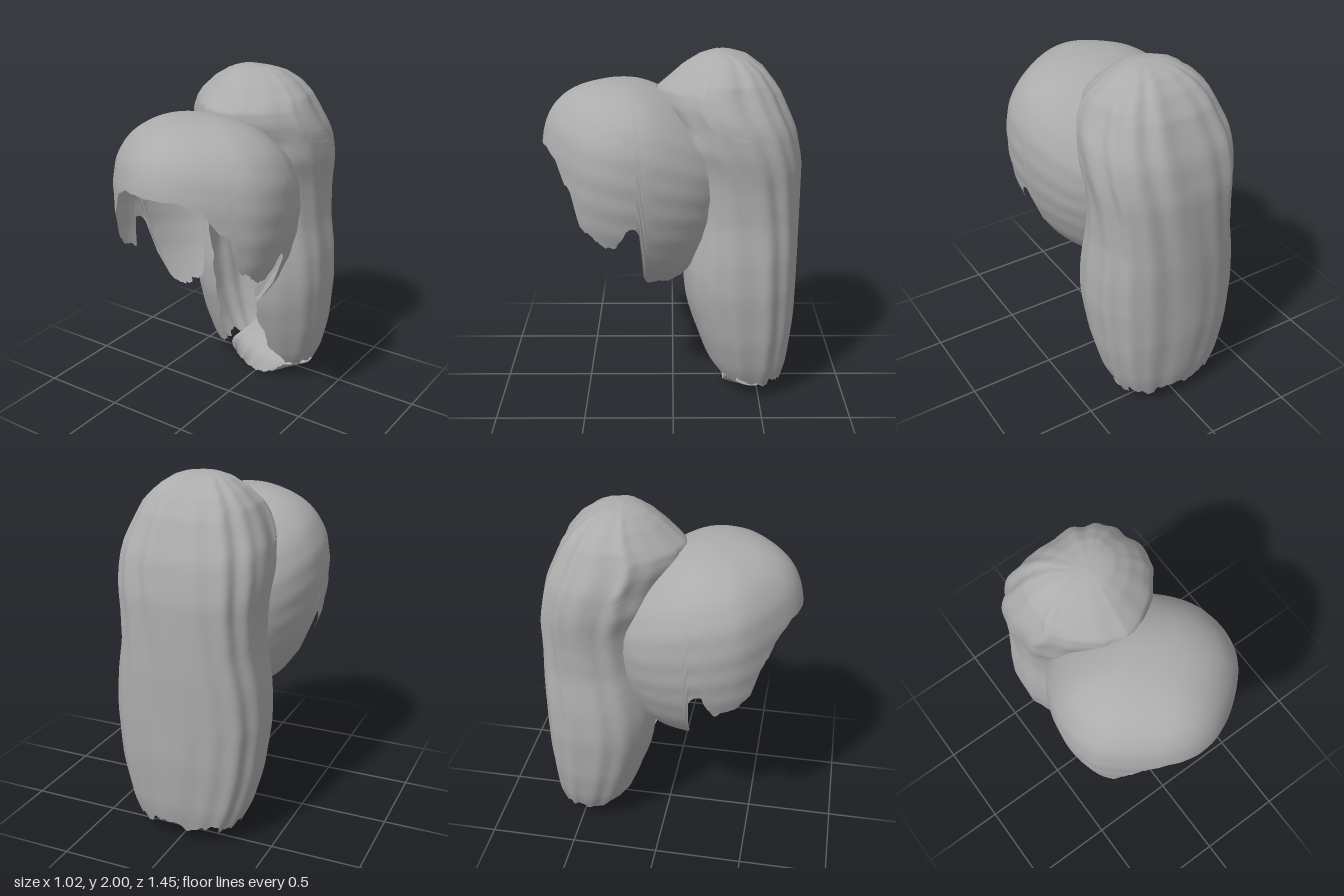
import * as THREE from 'three';
import { ParametricGeometry } from 'three/addons/geometries/ParametricGeometry.js';

const { smoothstep, clamp } = THREE.MathUtils;

// Piecewise linear lookup in [key, value] pairs with ascending keys
function lookup(table, k) {
  if (k <= table[0][0]) return table[0][1];
  for (let i = 1; i < table.length; i++) {
    const [a, va] = table[i - 1], [b, vb] = table[i];
    if (k <= b) return va + ((vb - va) * (k - a)) / (b - a);
  }
  return table[table.length - 1][1];
}

// Smooth curve lookup through the same kind of table
function smoothLookup(table, k) {
  const d = 0.04;
  return (lookup(table, k - d) + 2 * lookup(table, k) + lookup(table, k + d)) / 4;
}

// Small ragged offset for torn hair ends
const ragged = (a) => 0.5 * Math.sin(a * 23) + 0.3 * Math.sin(a * 51 + 1) + 0.2 * Math.sin(a * 97 + 2);
const power = (c, e) => Math.sign(c) * Math.pow(Math.abs(c), e);
const dome = (t, e) => Math.pow(Math.max(0, 1 - Math.pow(t, e)), 1 / e);

// Lower edge height of the cap by angle from the front, in degrees
const CAP_EDGE = [
  [0, 1.5], [25, 1.5], [38, 1.45], [46, 1.35], [52, 1.3], [57, 1.13], [70, 1.04], [82, 1.0],
  [87, 1.07], [90, 1.13], [95, 1.14], [98, 1.08], [99, 0.92], [100, 0.8], [105, 0.73],
  [126, 0.73], [134, 0.78], [138, 0.92], [143, 1.2], [150, 1.5], [160, 1.65], [180, 1.7],
];

// Ponytail profiles by height: half width, front depth, back depth, half gap in front
const TAIL_WIDTH = [
  [0, 0.25], [0.1, 0.3], [0.2, 0.35], [0.4, 0.4], [0.7, 0.43], [0.9, 0.42], [1.1, 0.39],
  [1.3, 0.39], [1.5, 0.41], [1.65, 0.4], [1.75, 0.36], [1.85, 0.31], [1.92, 0.24], [1.97, 0.16],
  [1.99, 0.1], [2, 0],
];
const TAIL_FRONT = [
  [0, -0.3], [0.1, -0.25], [0.2, -0.19], [0.4, -0.12], [0.6, -0.06], [0.8, -0.04], [1, -0.06],
  [1.2, -0.08], [1.4, -0.07], [1.6, 0.02], [1.72, 0.1], [1.8, 0.09], [1.85, 0.03], [1.92, -0.05],
  [1.97, -0.13], [1.99, -0.19], [2, -0.25],
];
const TAIL_BACK = [
  [0, -0.63], [0.2, -0.68], [0.5, -0.71], [1, -0.72], [1.4, -0.71], [1.6, -0.67],
  [1.8, -0.58], [1.9, -0.5], [1.96, -0.42], [1.99, -0.33], [2, -0.25],
];
const TAIL_GAP = [
  [0, 0.17], [0.4, 0.15], [0.5, 0.12], [0.75, 0.13], [0.9, 0.15], [1.05, 0.22], [1.15, 0.29],
  [1.5, 0.29], [1.6, 0.2], [1.66, 0],
];

// Head cap: a dome cut off along the hairline
function capPoint(u, v, p) {
  const angle = Math.PI * (1 - 2 * u);
  const degrees = Math.abs(angle) * 180 / Math.PI;
  const frayed = degrees > 40 ? 0.016 : 0.004;
  const edge = lookup(CAP_EDGE, degrees) + frayed * ragged(angle);
  let y = 1.83 - (1.83 - edge) * v * v;
  const up = Math.max(0, (y - 1.38) / 0.45), down = Math.max(0, (1.38 - y) / 0.75);
  const strands = 1 + 0.006 * v * Math.sin(y * 42 + degrees * 0.07) * Math.min(1, degrees / 90);
  const c = Math.cos(angle), s = Math.sin(angle);
  // Front is slightly pointed, upper back is slimmer, side locks keep their depth
  const slim = 1 - 0.18 * smoothstep(c, 0.35, 1) - 0.12 * up * smoothstep(-c, 0.2, 0.8);
  const scaleX = dome(up, 2.4) * dome(down, 2) * strands * slim;
  const scaleZ = dome(up, c > 0 ? 2.8 : 2.4) * Math.sqrt(dome(down, 2)) * strands;
  const z = 0.25 + (c > 0 ? 0.48 : 0.58) * c * scaleZ;
  // The crown sinks towards the back, under the ponytail
  const back = Math.max(0, 0.3 - z);
  y -= 0.6 * back * back * clamp((y - 1) / 0.8, 0, 1);
  p.set(0.51 * s * scaleX, y, z);
}

// Ponytail: a draped shell, open along the front below the crown
function tailPoint(u, v, p) {
  const side = u * 2 - 1;
  const frontness = Math.pow(Math.abs(side), 6);
  const bottom = 0.1 + 0.035 * ragged(side * 0.9) + 0.14 * frontness;
  const y = 2 - (2 - bottom) * Math.pow(v, 1.7);
  const near = y > 1.78 ? lookup : smoothLookup;
  const width = near(TAIL_WIDTH, y);
  const front = near(TAIL_FRONT, y), back = near(TAIL_BACK, y);
  const gap = Math.max(0, lookup(TAIL_GAP, y) + (y < 1.5 ? 0.012 * ragged(y * 1.5) : 0));
  const limit = Math.PI - Math.asin(Math.min(0.95, gap / Math.max(width, 0.01)));
  const angle = side * limit;
  const c = Math.cos(angle), s = Math.sin(angle);
  // Boxy at the back, tapering to the crown at the front
  const boxy = 0.9 - 0.15 * smoothstep(c, -0.3, 0.3);
  const taper = 1 + 0.38 * smoothstep(y, 1.5, 1.7) * smoothstep(-c, 0, 0.6);
  const flow = angle + 0.15 * Math.sin(y * 2.5);
  const fade = smoothstep(c, -0.8, 0.2) * 0.7 + 0.3;
  const strands = 1 + fade * ((0.014 * Math.sin(flow * 15) + 0.012 * Math.sin(flow * 9 + 1.3))
    * (0.9 + 0.4 * smoothstep(y, 1, 1.5)) - 0.012);
  const middle = (front + back) / 2, depth = (front - back) / 2;
  p.set(width * power(s, boxy * taper) * strands, y, middle - depth * power(c, boxy * taper) * strands);
}

// Inner tuft: a curved sheet sweeping forward and down inside the ponytail end
function tuftPoint(u, v, p) {
  const side = u * 2 - 1;
  const w = 0.16 + 0.11 * Math.sin(v * Math.PI) + 0.03 * v;
  const y = 0.002 + 0.27 * Math.pow(1 - v, 4) + 0.11 * side * side * Math.sqrt(v);
  p.set(0.02 + side * w, y + 0.008 * (1 + ragged(side * 0.8)) * v, -0.66 + 0.36 * v);
}

export function createModel() {
  const hair = new THREE.MeshStandardMaterial({ color: 0xacacac, side: THREE.DoubleSide });
  hair.name = 'grey hair';
  const group = new THREE.Group();
  group.name = 'hairstyle';

  const add = (name, point, columns, rows) => {
    const geometry = new ParametricGeometry(point, columns, rows);
    geometry.computeVertexNormals();
    const mesh = new THREE.Mesh(geometry, hair);
    mesh.name = name;
    group.add(mesh);
  };

  add('headCap', capPoint, 200, 48);
  add('ponytail', tailPoint, 200, 80);
  add('innerTuft', tuftPoint, 40, 14);
  return group;
}
